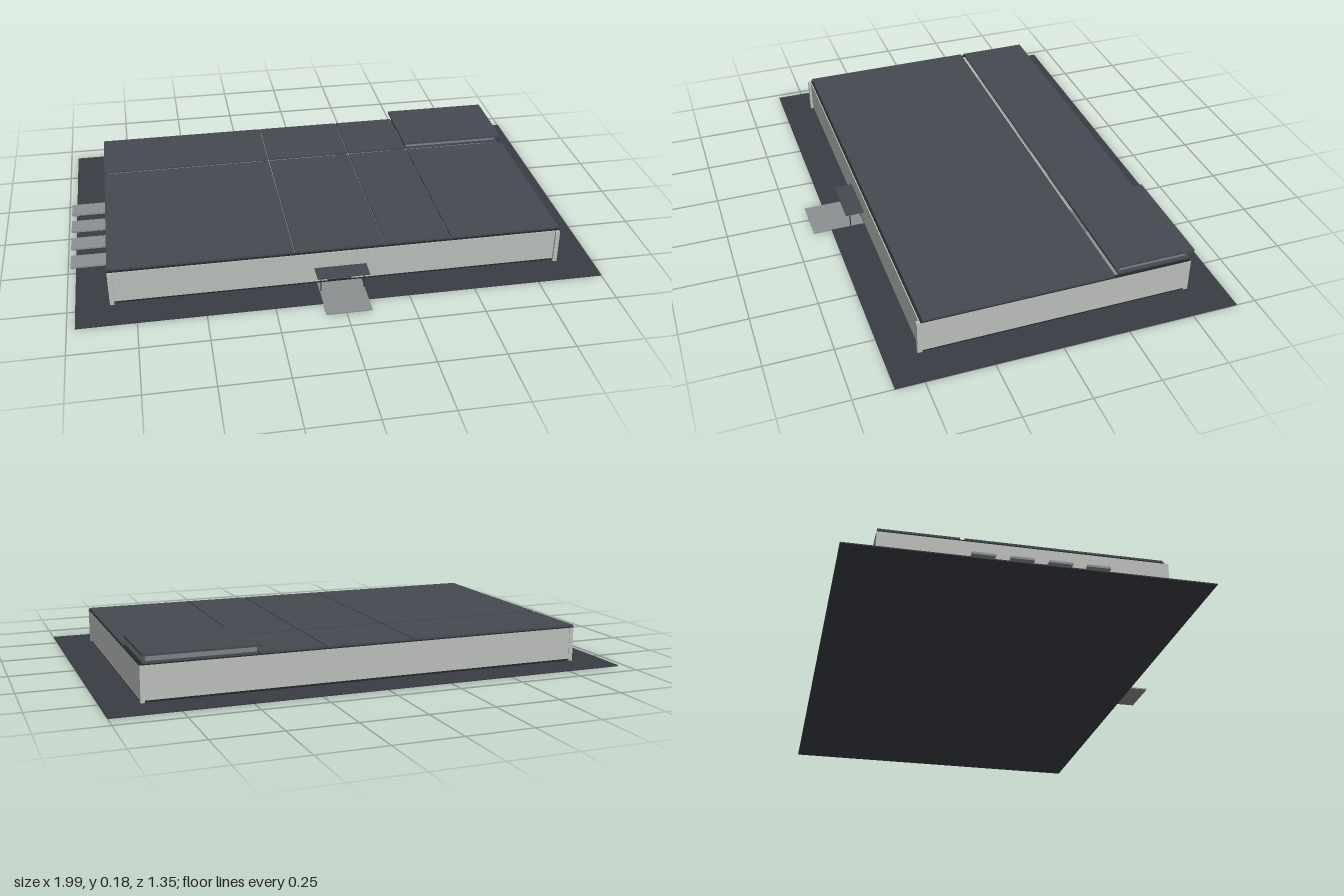
import * as THREE from 'three';

const mat = (color) => new THREE.MeshStandardMaterial({ color });
const M = {
  ground: mat(0x393d44), roof: mat(0x444a50), wall: mat(0xb9bdb9), pad: mat(0x8c9090),
  trim: mat(0x25282c), glass: mat(0x3f86a0), yellow: mat(0xd9b23a), curb: mat(0x7d8284),
};

export function createModel() {
  const root = new THREE.Group();
  root.name = 'warehouse';

  // Box given by its limits along each axis
  const box = (name, m, x0, x1, y0, y1, z0, z1) => {
    const mesh = new THREE.Mesh(new THREE.BoxGeometry(x1 - x0, y1 - y0, z1 - z0), m);
    mesh.position.set((x0 + x1) / 2, (y0 + y1) / 2, (z0 + z1) / 2);
    mesh.name = name;
    root.add(mesh);
    return mesh;
  };

  // Site and paving
  box('groundSlab', M.ground, -0.97, 1, 0, 0.004, -0.675, 0.605);
  box('entrancePad', M.pad, -0.075, 0.095, 0.001, 0.006, 0.475, 0.675);
  [-0.21, -0.08, 0.05, 0.18].forEach((z) =>
    box('dockPad', M.pad, -0.99, -0.84, 0.003, 0.011, z - 0.04, z + 0.04));

  // Building base and floor
  const X0 = -0.845, X1 = 0.865, Z0 = -0.545, Z1 = 0.475, T = 0.012, H = 0.136;
  box('plinth', M.trim, X0 + 0.003, X1 - 0.003, 0.003, 0.012, Z0 + 0.003, Z1 - 0.003);
  box('floor', M.pad, X0 + T, X1 - T, 0.012, 0.014, Z0 + T, Z1 - T);

  // Outer walls, split round the entrance and the loading opening
  box('backWall', M.wall, X0, X1, 0.012, H, Z0, Z0 + T);
  box('leftWall', M.wall, X1 - T, X1, 0.012, H, Z0 + T, Z1 - T);
  const door = { a: -0.035, b: 0.055, top: 0.06 };
  box('frontWall', M.wall, X0, door.a, 0.012, H, Z1 - T, Z1);
  box('frontWall', M.wall, door.b, X1, 0.012, H, Z1 - T, Z1);
  box('frontWallHead', M.wall, door.a, door.b, door.top, H, Z1 - T, Z1);
  const dock = { a: 0.02, b: 0.24, top: 0.07 };
  box('rightWall', M.wall, X0, X0 + T, 0.012, H, Z0 + T, dock.a);
  box('rightWall', M.wall, X0, X0 + T, 0.012, H, dock.b, Z1 - T);
  box('rightWallHead', M.wall, X0, X0 + T, dock.top, H, dock.a, dock.b);

  // Corner columns
  for (const x of [X0, X1 - 0.016])
    for (const z of [Z0 - 0.002, Z1 - 0.008])
      box('cornerColumn', M.wall, x, x + 0.016, 0.004, H, z, z + 0.018);

  // Entrance: glazed doors with frame, canopy on two posts
  const cx = (door.a + door.b) / 2;
  box('entranceGlass', M.glass, door.a, door.b, 0.012, door.top, Z1 - 0.009, Z1 - 0.005);
  for (const x of [door.a, cx - 0.0015, door.b - 0.003])
    box('doorFrame', M.trim, x, x + 0.003, 0.012, door.top, Z1 - 0.005, Z1 + 0.002);
  box('doorHead', M.trim, door.a, door.b, door.top - 0.004, door.top, Z1 - 0.005, Z1 + 0.002);
  box('canopy', M.roof, -0.085, 0.112, 0.069, 0.073, Z1, 0.547);
  for (const x of [-0.07, 0.093]) {
    const post = new THREE.Mesh(new THREE.CylinderGeometry(0.002, 0.002, 0.064, 8), M.trim);
    post.position.set(x, 0.037, 0.528);
    post.name = 'canopyPost';
    root.add(post);
  }

  // Loading opening: recessed shutters with yellow guards
  box('dockShutter', M.trim, X0 + 0.005, X0 + 0.009, 0.012, dock.top, dock.a, dock.b);
  for (const z of [dock.a, (dock.a + dock.b) / 2 - 0.003, dock.b - 0.006])
    box('dockGuard', M.yellow, X0 - 0.004, X0 + 0.004, 0.01, 0.05, z, z + 0.006);

  // Inner partitions, seen through the slots in the roof
  const splits = [-0.157, 0.186, 0.44];
  box('spineWall', M.wall, X0 + T, 0.43, 0.014, 0.132, -0.261, -0.249);
  splits.forEach((x) => box('partition', M.curb, x - 0.004, x + 0.004, 0.014, 0.125, Z0 + T, Z1 - T));

  // Roof edge and roof panels, one per bay on either side of the slot
  box('backRoofEdge', M.trim, X0, X1, H, 0.14, Z0, Z0 + T);
  box('frontRoofEdge', M.trim, X0, X1, H, 0.14, Z1 - T, Z1 - 0.004);
  box('rightRoofEdge', M.trim, X0, X0 + T, H, 0.14, Z0 + T, Z1 - T);
  box('leftRoofEdge', M.trim, X1 - T, X1, H, 0.14, Z0 + T, Z1 - T);
  const edges = [X0, ...splits, X1];
  for (let i = 0; i < 4; i++) {
    const a = edges[i] + (i ? 0.002 : 0), b = edges[i + 1] - (i < 3 ? 0.002 : 0);
    box('frontRoofPanel', M.roof, a, b, 0.14, 0.147, -0.247, 0.465);
    box('backRoofPanel', M.roof, a, i < 3 ? b : 0.855, 0.14, 0.147, Z0, -0.263);
  }

  // Raised roof over the back left corner
  box('raisedRoofWall', M.curb, 0.445, 0.842, 0.138, 0.17, -0.533, -0.272);
  box('raisedRoof', M.roof, 0.43, 0.857, 0.17, 0.178, -0.56, -0.247);
  return root;
}
